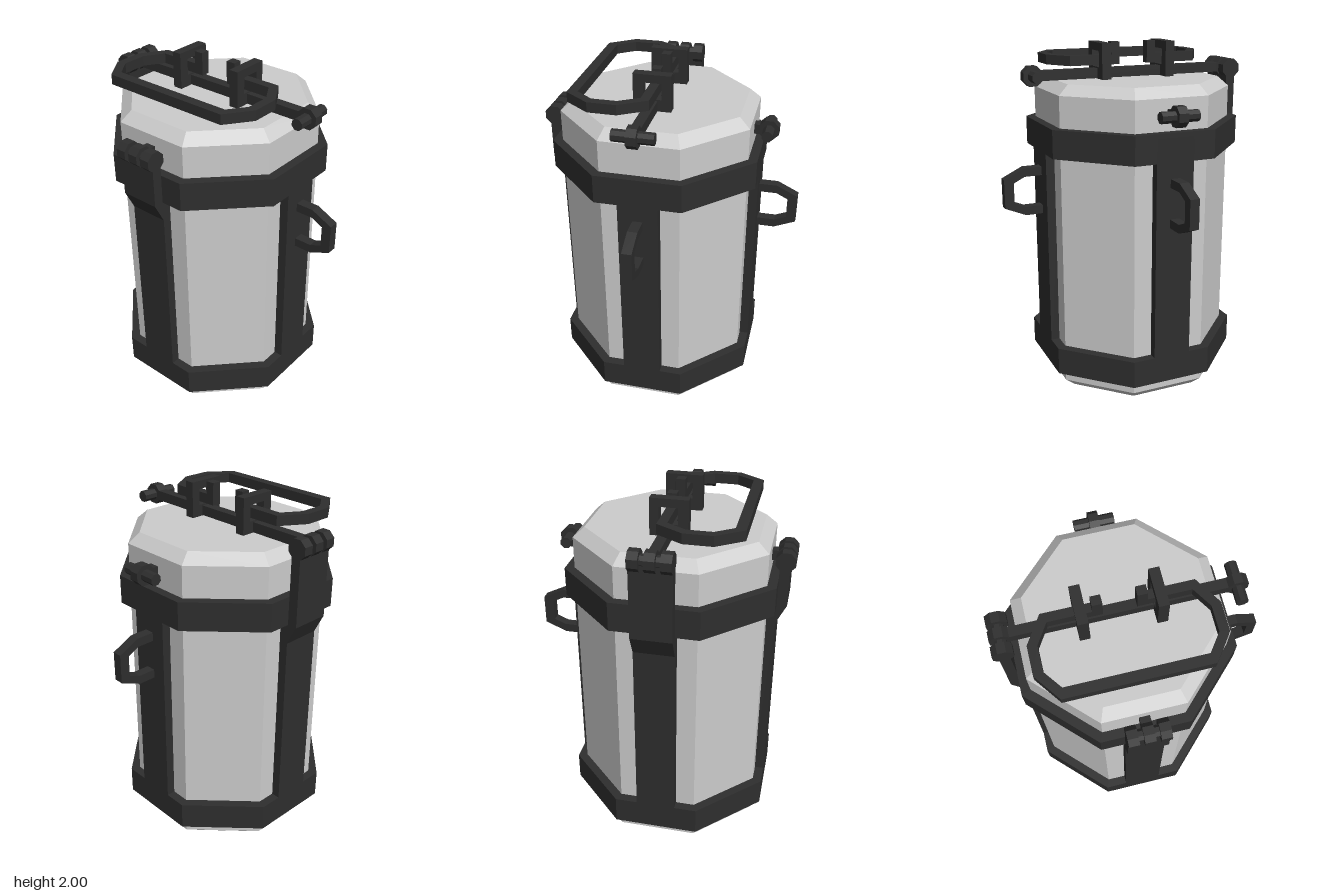
import * as THREE from 'three';

const lightGrey = new THREE.MeshStandardMaterial({ name: 'light grey shell', color: 0xcccccc, flatShading: true });
const darkGrey = new THREE.MeshStandardMaterial({ name: 'dark grey frame', color: 0x2e2e2e, flatShading: true });

const HALF = Math.PI / 8;
const APOTHEM = 0.57; // outer face of the frame

function part(parent, name, geometry, material = darkGrey) {
  const mesh = new THREE.Mesh(geometry, material);
  mesh.name = name;
  parent.add(mesh);
  return mesh;
}

// Upright octagonal prism, sized across its flats
function octagon(top, bottom, y0, y1) {
  const k = 1 / Math.cos(HALF);
  return new THREE.CylinderGeometry(top * k, bottom * k, y1 - y0, 8)
    .rotateY(HALF).translate(0, (y0 + y1) / 2, 0);
}

// Octagonal pin lying along x
function pin(apothem, length, x, y, z) {
  return octagon(apothem, apothem, -length / 2, length / 2)
    .rotateZ(Math.PI / 2).translate(x, y, z);
}

function box(w, h, d, x, y, z) {
  return new THREE.BoxGeometry(w, h, d).translate(x, y, z);
}

// Flat outline extruded to a depth centred on zero
function slab(points, depth, hole) {
  const shape = new THREE.Shape(points.map(([x, y]) => new THREE.Vector2(x, y)));
  if (hole) shape.holes.push(new THREE.Path(hole.map(([x, y]) => new THREE.Vector2(x, y))));
  return new THREE.ExtrudeGeometry(shape, { depth, bevelEnabled: false }).translate(0, 0, -depth / 2);
}

// One locking bar with its two straps: latch and grip at +z, hinge at -z
function lockingBar(name, y) {
  const g = new THREE.Group();
  g.name = name;

  part(g, 'latchStrap', box(0.22, 1.4, 0.08, 0, 0.845, APOTHEM - 0.04));

  // Strap that kinks outward and rises to the hinge
  const strap = [[0.5, 0.13], [APOTHEM, 0.13], [APOTHEM, 1.3], [0.625, 1.41],
    [0.625, y], [APOTHEM, y], [APOTHEM, 1.56], [0.5, 1.56]];
  part(g, 'hingeStrap', slab(strap, 0.22).rotateY(Math.PI / 2));

  // Rod, hinge knuckles and latch pin
  part(g, 'rod', box(0.055, 0.055, 1.2, 0, y, 0));
  part(g, 'hingePin', pin(0.03, 0.2, 0, y, -0.6));
  for (const x of [-0.082, 0, 0.082]) part(g, 'hingeKnuckle', pin(0.053, 0.056, x, y, -0.6));
  part(g, 'latchPin', pin(0.03, 0.22, 0, y, 0.6));
  part(g, 'latchSleeve', pin(0.055, 0.055, 0, y, 0.6));

  // Side grip, a bent open loop
  const grip = [[0.55, 1.323], [0.67, 1.323], [0.79, 1.265], [0.79, 1.1], [0.67, 1.048], [0.55, 1.048],
    [0.55, 1.097], [0.67, 1.097], [0.735, 1.124], [0.735, 1.242], [0.67, 1.274], [0.55, 1.274]];
  part(g, 'sideGrip', slab(grip, 0.055).rotateY(-Math.PI / 2));
  return g;
}

// Folding handle on the lid with its two brackets
function carryHandle() {
  const g = new THREE.Group();
  g.name = 'carryHandle';
  const outer = [[0.025, 0.085], [0.025, 0.385], [-0.12, 0.475], [-0.275, 0.475], [-0.415, 0.373]];
  const inner = [[-0.025, 0.085], [-0.025, 0.36], [-0.13, 0.425], [-0.265, 0.425], [-0.36, 0.355]];
  const flip = (pts) => pts.map(([x, z]) => [x, -z]).reverse();
  const outline = [...outer, ...flip(outer), ...flip(inner).reverse(), ...[...inner].reverse()];
  part(g, 'handleLoop', slab(outline, 0.055).rotateX(-Math.PI / 2).translate(0, 1.903, 0));

  const frame = [[-0.105, 1.795], [0.1, 1.795], [0.1, 2], [-0.105, 2]];
  const opening = [[-0.05, 1.865], [-0.05, 1.955], [0.05, 1.955], [0.05, 1.865]];
  for (const side of [-1, 1]) {
    part(g, 'handleHook', box(0.05, 0.125, 0.052, 0, 1.9375, side * 0.111));
    part(g, 'handleBracket', slab(frame, 0.054, opening).translate(0, 0, side * 0.196));
  }
  return g;
}

export function createModel() {
  const model = new THREE.Group();
  model.name = 'canister';
  const can = new THREE.Group();
  can.name = 'canisterAssembly';
  can.position.set(-0.07, 0, -0.07);
  model.add(can);

  // Chamfered octagonal shell, closed at both ends
  const k = 1 / Math.cos(HALF);
  const profile = [[0, 0], [0.46, 0], [0.52, 0.055], [0.52, 1.745], [0.46, 1.8], [0, 1.8]]
    .map(([r, y]) => new THREE.Vector2(r * k, y));
  part(can, 'shell', new THREE.LatheGeometry(profile, 8).rotateY(HALF), lightGrey);

  // Lower and upper bands
  part(can, 'lowerBand', octagon(APOTHEM, APOTHEM, 0.12, 0.28));
  part(can, 'upperBand', octagon(APOTHEM, APOTHEM, 1.41, 1.57));

  // Two crossed locking bars, one over the lid and one through the shell
  can.add(lockingBar('lidBar', 1.83));
  const cross = lockingBar('crossBar', 1.66);
  cross.rotation.y = Math.PI / 2;
  can.add(cross);

  can.add(carryHandle());
  return model;
}
